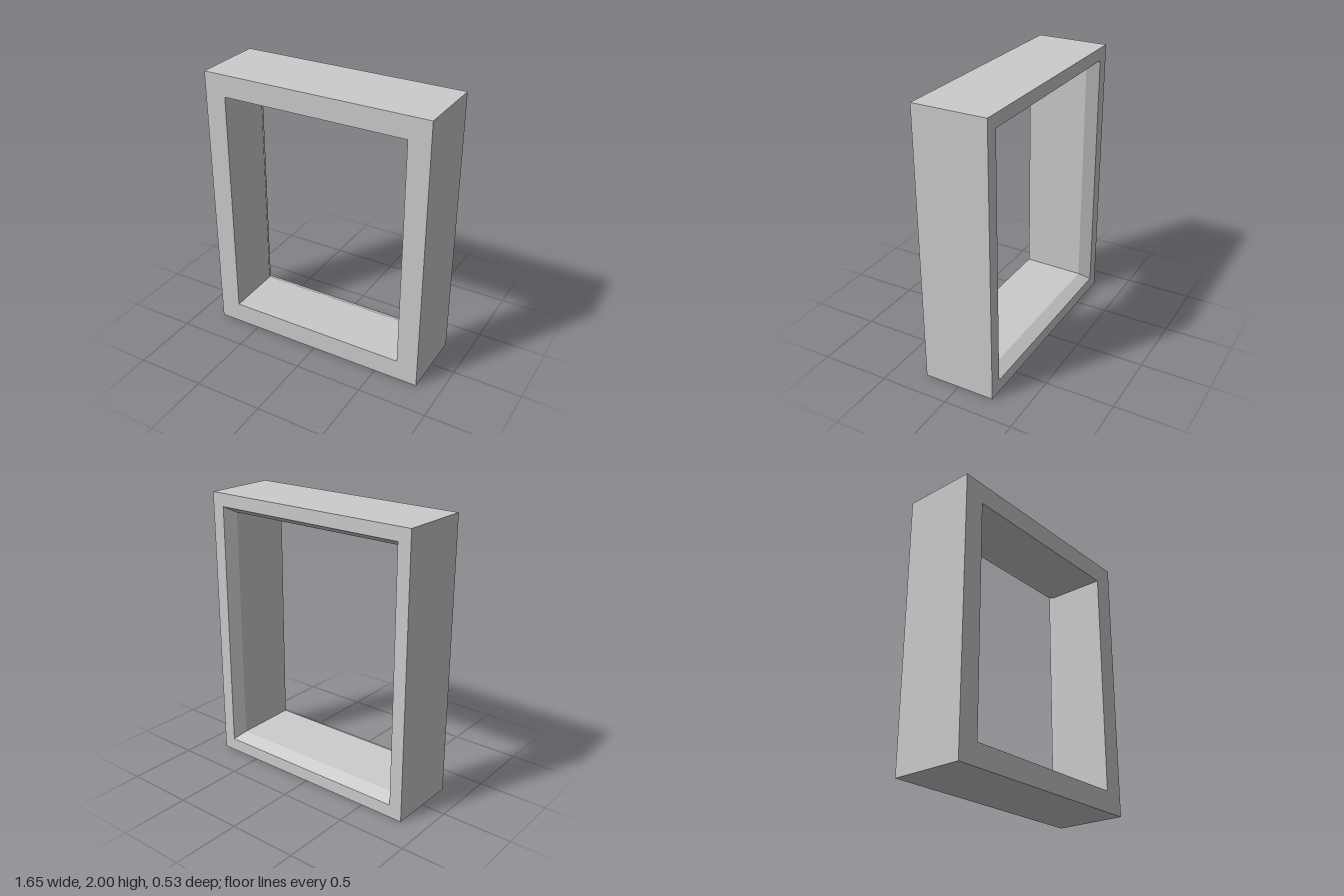
import * as THREE from 'three';

const HALF_W = 0.825, HEIGHT = 2, HALF_D = 0.263;

// Rail cross-section: [inset from the outer edge, z], from the outer front edge round to the outer back edge
const PROFILE = [
  [0, HALF_D],
  [0.155, HALF_D],
  [0.14, -0.18],     // slightly tapered opening
  [0.093, -HALF_D],  // bevel at the back
  [0, -HALF_D],
];

// Corner k of the rectangle, counter-clockwise from bottom -x, at a profile point
function corner(k, [inset, z]) {
  const x = (k === 1 || k === 2 ? 1 : -1) * (HALF_W - inset);
  const y = k < 2 ? inset : HEIGHT - inset;
  return [x, y, z];
}

// One mitred rail sweeping the profile from corner k to the next
function rail(k) {
  const positions = [];
  const next = (k + 1) % 4;
  PROFILE.forEach((p, j) => {
    const q = PROFILE[(j + 1) % PROFILE.length];
    const a = corner(k, p), b = corner(next, p), c = corner(next, q), d = corner(k, q);
    positions.push(...a, ...b, ...c, ...a, ...c, ...d);
  });
  const geometry = new THREE.BufferGeometry();
  geometry.setAttribute('position', new THREE.Float32BufferAttribute(positions, 3));
  geometry.computeVertexNormals();
  return geometry;
}

export function createModel() {
  const model = new THREE.Group();
  model.name = 'frame';
  const material = new THREE.MeshStandardMaterial({ color: 0xcccccc, flatShading: true });
  ['bottomRail', 'leftStile', 'topRail', 'rightStile'].forEach((name, k) => {
    const mesh = new THREE.Mesh(rail(k), material);
    mesh.name = name;
    model.add(mesh);
  });
  return model;
}
